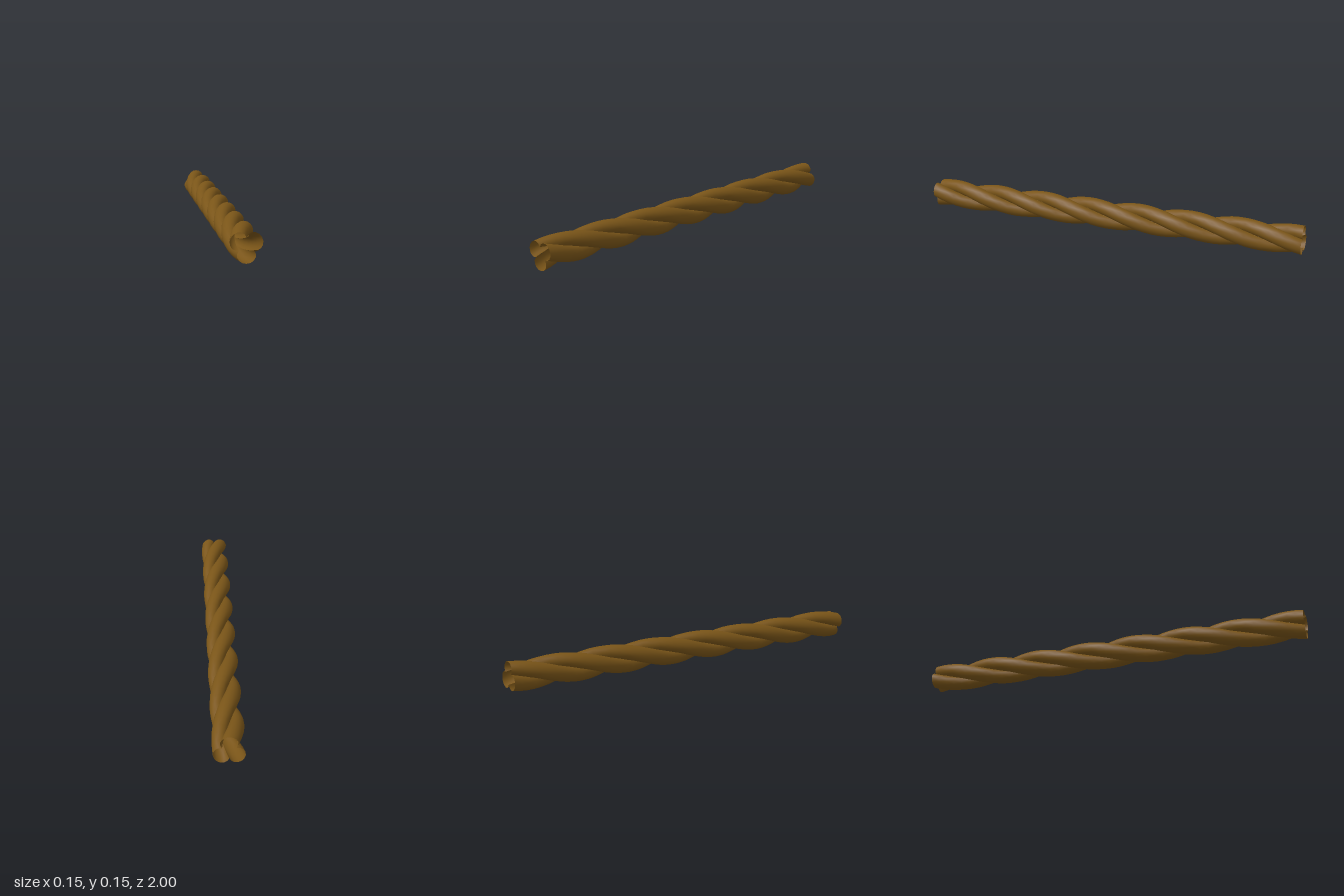
import * as THREE from 'three';
import { ParametricGeometry } from 'three/addons/geometries/ParametricGeometry.js';

const STRANDS = 3;
const TURNS = 2.5;
const LENGTH = 2;
const CENTRE_Y = 0.075;
const HELIX_RADIUS = 0.04;
const STRAND_DEPTH = 0.035; // half size, away from the rope axis
const STRAND_WIDTH = 0.04; // half size, around the rope axis
const ARC = THREE.MathUtils.degToRad(128); // strand is open towards the axis

// One open strand shell wound around the z axis
function strandGeometry(startAngle) {
  const surface = (u, v, target) => {
    const theta = (u * 2 - 1) * ARC;
    const phi = startAngle + (v - 1) * TURNS * Math.PI * 2;
    const out = HELIX_RADIUS + STRAND_DEPTH * Math.cos(theta);
    const side = STRAND_WIDTH * Math.sin(theta);
    target.set(
      out * Math.cos(phi) - side * Math.sin(phi),
      out * Math.sin(phi) + side * Math.cos(phi),
      (v - 0.5) * LENGTH
    );
  };
  return new ParametricGeometry(surface, 10, 50);
}

export function createModel() {
  const model = new THREE.Group();
  model.name = 'rope';
  const material = new THREE.MeshStandardMaterial({ color: 0x7a5518, side: THREE.DoubleSide });

  // Three identical strands, a third of a turn apart
  for (let i = 0; i < STRANDS; i++) {
    const angle = Math.PI / 6 + (i / STRANDS) * Math.PI * 2;
    const strand = new THREE.Mesh(strandGeometry(angle), material);
    strand.name = `strand${i + 1}`;
    strand.position.y = CENTRE_Y;
    model.add(strand);
  }
  return model;
}
